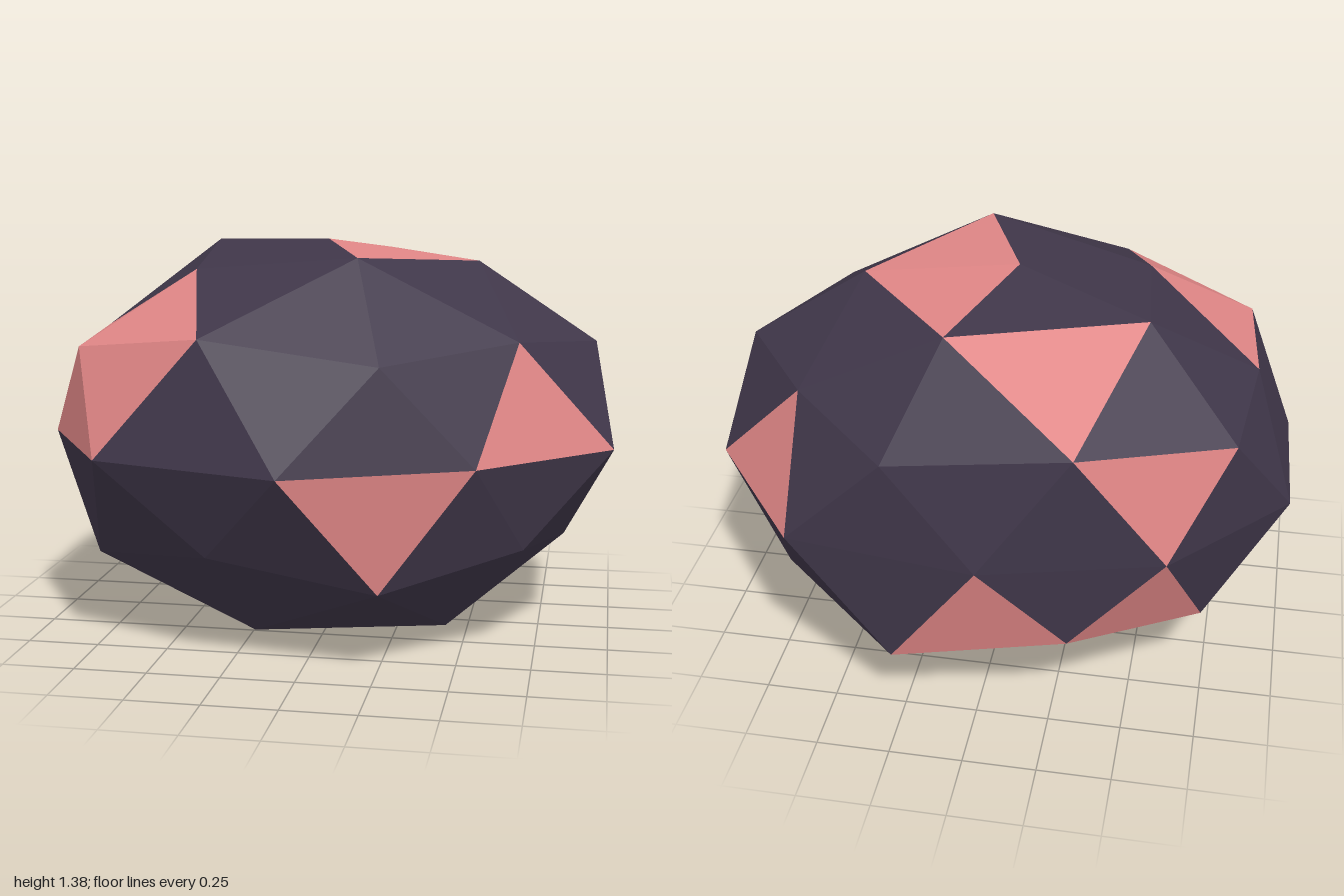
import * as THREE from 'three';

// Radius factors of a once-divided icosahedron: pole, ring near the pole,
// corner ring, and the ring of edge midpoints between the corners.
const UPPER = {
  pole: 0.932, start: 18, sign: 1, shift: 0,
  a: [1.045, 0.98, 1.0, 1.055, 0.945],
  b: [1.02, 1.02, 1.05, 1.03, 1.03],
  c: [0.985, 0.935, 1.075, 0.925, 1.06],
  // accent faces as 'face type + sector'
  accent: ['00', '01', '12', '24', '33', '44', '54', '60', '61', '72'],
};
const LOWER = {
  pole: 0.959, start: -18, sign: -1, shift: -1,
  a: [1.04, 1.045, 0.97, 0.96, 0.99],
  b: [0.975, 0.975, 0.975, 0.98, 0.965],
  c: [1.065, 0.965, 1.09, 0.975, 1.02],
  accent: ['00', '01', '02', '14', '23', '44', '53', '60', '71', '72'],
};
const EQUATOR = [1.073, 0.968, 1.031, 1.011, 1.05, 0.949, 0.96, 0.971, 0.951, 1.057];

// Point on the flattened ball: angle from +z towards +x, height of the unit direction
function point(angle, height, r) {
  const t = THREE.MathUtils.degToRad(angle), w = Math.sqrt(1 - height * height);
  return new THREE.Vector3(
    -0.03 + 1.05 * r * w * Math.sin(t),
    0.7 + 0.73 * r * height,
    -0.057 + 0.885 * r * w * Math.cos(t));
}

function facetMesh(name, color, triangles) {
  const geometry = new THREE.BufferGeometry().setFromPoints(triangles.flat());
  geometry.computeVertexNormals();
  const mesh = new THREE.Mesh(geometry, new THREE.MeshStandardMaterial({ color, flatShading: true }));
  mesh.name = name;
  return mesh;
}

export function createModel() {
  const dark = [], accent = [];
  const equator = EQUATOR.map((r, i) => point(36 * i, 0, r));

  for (const half of [UPPER, LOWER]) {
    const { start, sign, shift } = half;
    const ring = (radii, offset, h) => radii.map((r, k) => point(start + offset + 72 * k, sign * h, r));
    const P = point(0, sign, half.pole);
    const a = ring(half.a, 0, 0.8507);
    const b = ring(half.b, 0, 0.4472);
    const c = ring(half.c, 36, 0.5257);

    // Five equal sectors of eight facets each
    for (let k = 0; k < 5; k++) {
      const n = (k + 1) % 5;
      const [e0, e1, e2] = [0, 1, 2].map((j) => equator[(2 * k + shift + j + 10) % 10]);
      const faces = [
        [P, a[k], a[n]],
        [a[k], c[k], a[n]],
        [a[k], b[k], c[k]],
        [a[n], c[k], b[n]],
        [b[k], e0, e1],
        [b[k], e1, c[k]],
        [c[k], e1, e2],
        [c[k], e2, b[n]],
      ];
      faces.forEach((f, type) => {
        const target = half.accent.includes(`${type}${k}`) ? accent : dark;
        target.push(sign > 0 ? f : [f[0], f[2], f[1]]);
      });
    }
  }

  const group = new THREE.Group();
  group.name = 'facetedStone';
  group.add(facetMesh('darkFacets', 0x40374a, dark));
  group.add(facetMesh('pinkFacets', 0xe08686, accent));
  return group;
}
